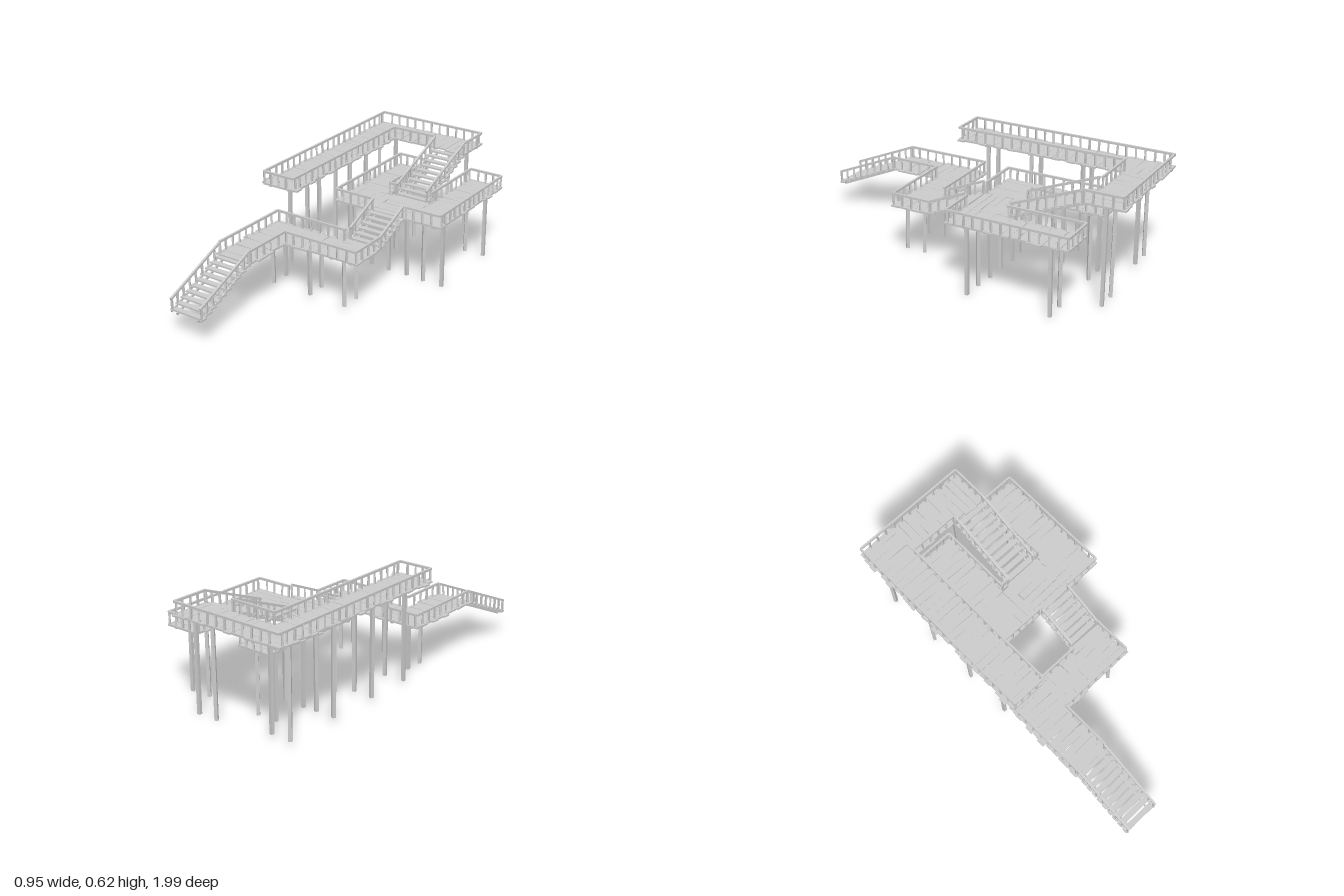
import * as THREE from 'three';

const material = new THREE.MeshStandardMaterial({ color: 0xcccccc, flatShading: true });
const unitBox = new THREE.BoxGeometry(1, 1, 1);
const V = (x, y, z) => new THREE.Vector3(x, y, z);

// Small seeded generator, returns -1..1
let seed = 11;
const jitter = () => {
  seed = (seed * 16807) % 2147483647;
  return (seed / 2147483647) * 2 - 1;
};

function box(parent, name, x, y, z, sx, sy, sz, turn = 0) {
  const m = new THREE.Mesh(unitBox, material);
  m.name = name;
  m.position.set(x, y, z);
  m.scale.set(sx, sy, sz);
  m.rotation.y = turn;
  parent.add(m);
  return m;
}

// Square timber running between two points
function beam(parent, name, a, b, w, h) {
  const m = box(parent, name, 0, 0, 0, w, h, a.distanceTo(b));
  m.position.copy(a).add(b).multiplyScalar(0.5);
  m.lookAt(b);
  return m;
}

function group(parent, name) {
  const g = new THREE.Group();
  g.name = name;
  parent.add(g);
  return g;
}

// Deck section: uneven planks laid across joists; `along` is the walking axis
function deck(parent, name, x0, x1, z0, z1, y, along) {
  const g = group(parent, name);
  const cx = (x0 + x1) / 2, cz = (z0 + z1) / 2, sx = x1 - x0, sz = z1 - z0;
  const run = along === 'z' ? sz : sx, across = along === 'z' ? sx : sz;
  const n = Math.max(2, Math.round(run / 0.044)), pitch = run / n;
  for (let i = 0; i < n; i++) {
    const t = -run / 2 + (i + 0.5) * pitch;
    const len = across + 0.012 + 0.014 * jitter(), off = 0.007 * jitter(), turn = 0.04 * jitter();
    const py = y + 0.001 * jitter(), w = pitch * (0.97 + 0.05 * jitter());
    if (along === 'z') box(g, 'plank', cx + off, py, cz + t, len, 0.009, w, turn);
    else box(g, 'plank', cx + t, py, cz + off, w, 0.009, len, turn);
  }
  for (const s of [-1, 1]) {
    const o = s * (across / 2 - 0.045);
    if (along === 'z') box(g, 'joist', cx + o, y - 0.009, cz, 0.016, 0.011, sz - 0.01);
    else box(g, 'joist', cx, y - 0.009, cz + o, sx - 0.01, 0.011, 0.016);
  }
}

// Handrail, edge board and balusters along a line of [x, y, z] points on the deck
function railing(parent, name, pts) {
  const g = group(parent, name);
  const p = pts.map(q => V(...q));
  for (let i = 0; i < p.length - 1; i++) {
    const a = p[i], b = p[i + 1], up = V(0, 0.068, 0);
    beam(g, 'handrail', a.clone().add(up), b.clone().add(up), 0.011, 0.012);
    beam(g, 'edgeBoard', a, b, 0.009, 0.011);
    const n = Math.max(1, Math.round(a.distanceTo(b) / 0.054));
    for (let k = 0; k <= n; k++) {
      if (k === n && i < p.length - 2) continue;
      const q = a.clone().lerp(b, Math.min(0.98, Math.max(0.02, k / n)));
      beam(g, 'baluster', q, q.clone().add(V(0.003 * jitter(), 0.066, 0.003 * jitter())), 0.01, 0.01);
    }
  }
}

// Straight stair climbing towards -z, railed on both sides
function stair(parent, name, x0, x1, zLow, zHigh, yLow, yHigh, steps) {
  const g = group(parent, name);
  for (let i = 0; i < steps; i++) {
    const t = (i + 0.5) / steps;
    box(g, 'tread', (x0 + x1) / 2, yLow + (yHigh - yLow) * t, zLow + (zHigh - zLow) * t,
      x1 - x0 + 0.006, 0.009, 0.031, 0.008 * jitter());
  }
  for (const x of [x0 + 0.008, x1 - 0.008])
    railing(g, 'stairRailing', [[x, yLow, zLow], [x, yHigh, zHigh]]);
  for (const x of [x0 + 0.035, x1 - 0.035])
    beam(g, 'stringer', V(x, yLow - 0.011, zLow - 0.01), V(x, yHigh - 0.011, zHigh), 0.009, 0.014);
}

// Slightly leaning support posts on every combination of xs and zs
function supports(parent, name, xs, zs, bottom, top) {
  const g = group(parent, name);
  for (const z of zs) {
    for (const x of xs)
      beam(g, 'supportPost', V(x + 0.003 * jitter(), bottom, z + 0.006 * jitter()), V(x, top, z), 0.018, 0.018);
    const a = Math.min(...xs), b = Math.max(...xs);
    if (b - a < 0.15) box(g, 'crossBeam', (a + b) / 2, top - 0.004, z, b - a + 0.05, 0.01, 0.02);
  }
}

export function createModel() {
  const root = new THREE.Group();
  root.name = 'woodenWalkways';
  const A = 0.306, B = 0.392, C = 0.55; // deck heights

  // Lower walkway
  const lower = group(root, 'lowerWalkway');
  deck(lower, 'entryDeck', -0.43, -0.215, 0.115, 0.62, A, 'z');
  deck(lower, 'crossDeck', -0.215, 0.025, 0.12, 0.325, A, 'x');
  deck(lower, 'cornerDeck', 0.025, 0.235, 0.1, 0.325, A, 'z');
  railing(lower, 'outerRailing', [[-0.42, A, 0.615], [-0.42, A, 0.125], [0.03, A, 0.125]]);
  railing(lower, 'innerRailing', [[-0.22, A, 0.615], [-0.22, A, 0.322], [0.228, A, 0.322], [0.228, A, 0.095]]);
  supports(lower, 'lowerSupports', [-0.33, -0.085, 0.135], [0.18, 0.29], 0.028, A - 0.005);

  // Middle walkway
  const middle = group(root, 'middleWalkway');
  deck(middle, 'landingDeck', 0.025, 0.24, -0.375, -0.13, B, 'z');
  deck(middle, 'sideDeck', 0.245, 0.45, -0.81, -0.13, B, 'z');
  deck(middle, 'linkDeck', -0.22, 0.02, -0.355, -0.14, B, 'x');
  deck(middle, 'innerDeck', -0.215, -0.02, -0.79, -0.36, B, 'z');
  railing(middle, 'sideRailing', [[0.235, B, -0.135], [0.448, B, -0.135], [0.448, B, -0.81],
    [0.25, B, -0.81], [0.25, B, -0.375]]);
  railing(middle, 'innerRailing', [[0.03, B, -0.135], [-0.213, B, -0.135], [-0.213, B, -0.79],
    [-0.02, B, -0.79], [-0.02, B, -0.375], [0.025, B, -0.375]]);
  supports(middle, 'sideSupports', [0.295, 0.41], [-0.235, -0.7], 0, B - 0.01);
  supports(middle, 'innerSupports', [-0.17, -0.05], [-0.25, -0.49, -0.7], 0, B - 0.01);
  supports(middle, 'landingSupports', [0.065, 0.18], [-0.24], 0, B - 0.01);

  // Upper walkway
  const upper = group(root, 'upperWalkway');
  deck(upper, 'longDeck', -0.46, -0.25, -0.99, 0.195, C, 'z');
  deck(upper, 'backDeck', -0.25, 0.22, -0.985, -0.78, C, 'x');
  railing(upper, 'outerRailing', [[0.217, C, -0.77], [0.217, C, -0.98], [-0.452, C, -0.98],
    [-0.452, C, 0.195], [-0.255, C, 0.195], [-0.255, C, -0.785], [0.025, C, -0.785]]);
  supports(upper, 'longSupports', [-0.405, -0.29], [-0.86, -0.54, -0.235, 0.03], 0.03, C - 0.01);
  supports(upper, 'backSupports', [0.065, 0.18], [-0.88], 0, C - 0.01);

  // Stairs between levels
  stair(root, 'entryStair', -0.425, -0.217, 0.995, 0.61, 0.142, A, 10);
  stair(root, 'middleStair', 0.03, 0.235, 0.095, -0.125, A, B + 0.008, 6);
  stair(root, 'upperStair', 0.02, 0.225, -0.375, -0.775, B, C, 10);
  return root;
}
